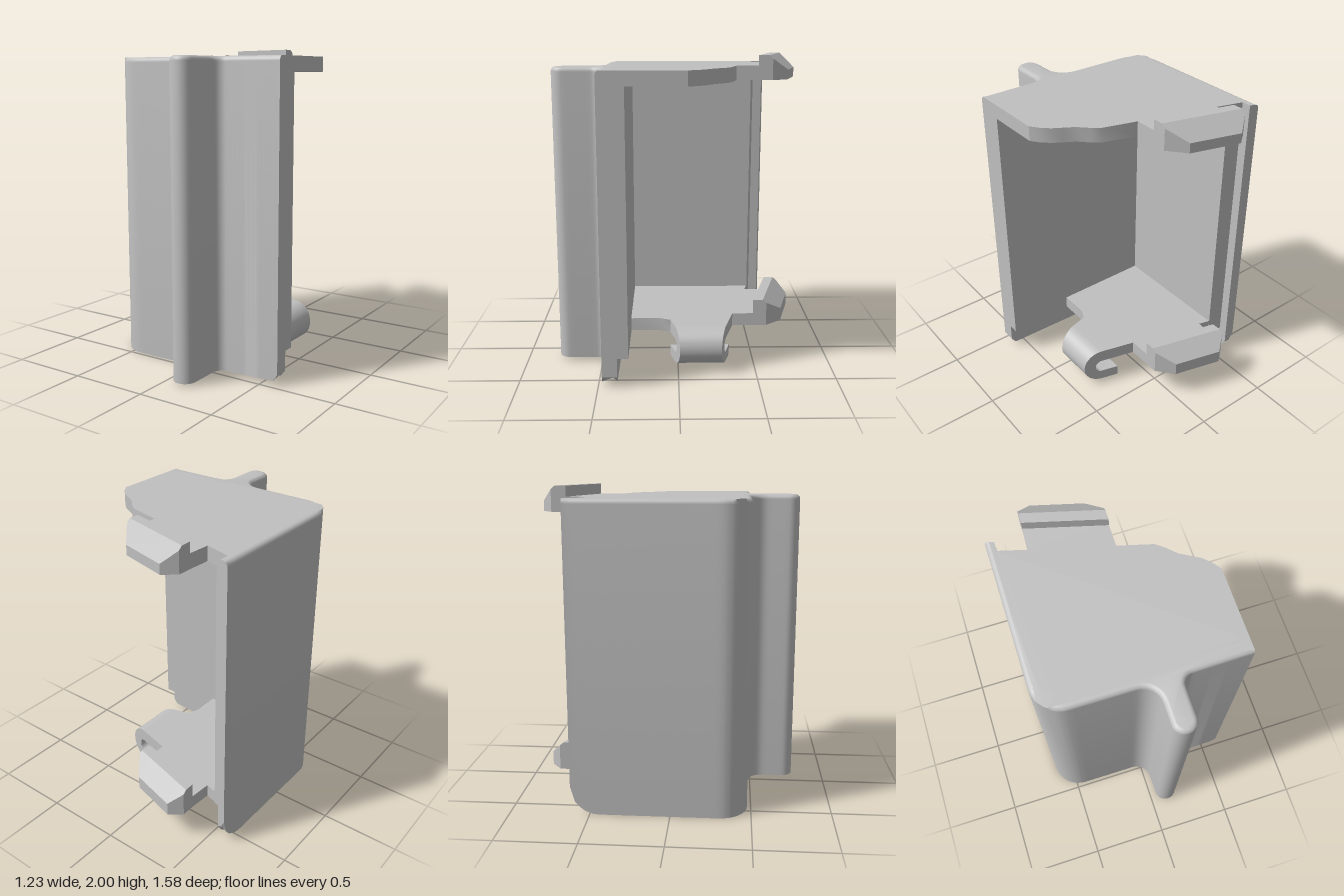
import * as THREE from 'three';
import { toCreasedNormals } from 'three/addons/utils/BufferGeometryUtils.js';

const grey = new THREE.MeshStandardMaterial({ color: 0xc0c0c0 });
grey.name = 'light grey';

function build(name, positions, index) {
  const g = new THREE.BufferGeometry();
  g.setAttribute('position', new THREE.Float32BufferAttribute(positions, 3));
  g.setIndex(index);
  const mesh = new THREE.Mesh(toCreasedNormals(g, 0.6), grey);
  mesh.name = name;
  return mesh;
}

// Plan outline from corners [x, z, fillet], split into short steps.
function outline(corners, step = 10) {
  const raw = [];
  corners.forEach(([x, z, r], i) => {
    const p = new THREE.Vector2(x, z);
    if (!r) return raw.push(p);
    const toward = (c) => new THREE.Vector2(c[0], c[1]).sub(p).setLength(r).add(p);
    const n = corners.length;
    const a = toward(corners[(i + n - 1) % n]);
    const b = toward(corners[(i + 1) % n]);
    // Weighted curve that is a true arc at a right angle
    for (let k = 0; k <= 8; k++) {
      const t = k / 8, u = 1 - t, w = Math.SQRT2 * u * t, s = u * u + w + t * t;
      raw.push(new THREE.Vector2(
        (u * u * a.x + w * x + t * t * b.x) / s,
        (u * u * a.y + w * z + t * t * b.y) / s));
    }
  });
  const pts = [];
  raw.forEach((p, i) => {
    const q = raw[(i + 1) % raw.length];
    const n = Math.max(1, Math.ceil(p.distanceTo(q) / step));
    for (let k = 0; k < n; k++) pts.push(p.clone().lerp(q, k / n));
  });
  if (THREE.ShapeUtils.isClockWise(pts)) pts.reverse();
  return pts;
}

// Upright prism; bottom(x, z) shapes the lower edge, round softens the outer top edge.
function prism(name, pts, bottom, top, round = 0) {
  const n = pts.length, pos = [], idx = [];
  const rows = [[0, 0]];
  if (round) {
    for (let k = 0; k <= 5; k++) {
      const a = (k / 5) * Math.PI / 2;
      rows.push([top - round + round * Math.sin(a), round * (1 - Math.cos(a))]);
    }
  } else rows.push([top, 0]);
  rows.forEach(([y, inset], r) => pts.forEach((p, i) => {
    const d1 = p.clone().sub(pts[(i + n - 1) % n]).normalize();
    const d2 = pts[(i + 1) % n].clone().sub(p).normalize();
    const d = d1.add(d2).normalize();
    const amount = p.x < -0.6 || p.y > 0.44 ? inset : 0;
    pos.push(p.x - (p.x > 0.6 ? 0 : d.y * amount), r ? y : bottom(p.x, p.y),
      p.y + (p.y < -0.6 ? 0 : d.x * amount));
  }));
  for (let r = 0; r < rows.length - 1; r++) {
    for (let i = 0; i < n; i++) {
      const a = r * n + i, b = r * n + (i + 1) % n;
      idx.push(a, a + n, b + n, a, b + n, b);
    }
  }
  const last = (rows.length - 1) * n;
  for (const [a, b, c] of THREE.ShapeUtils.triangulateShape(pts, [])) {
    idx.push(a, b, c, last + a, last + c, last + b);
  }
  return build(name, pos, idx);
}

// Snap ridge: slanted wedge with cut corners, lofted along x.
function clip(name, yb, yt) {
  const pos = [], idx = [];
  const sections = [[-0.39, 0.09], [-0.31, 0.175], [0, 0.175], [0.09, 0.09]];
  for (const [x, depth] of sections) {
    const z = -0.534 + 0.27 * x;
    const slope = yt - (depth - 0.065) * 0.85;
    for (const [d, y] of [[0, yb], [0, yt], [0.065, yt], [depth, slope], [depth, yb]]) pos.push(x, y, z - d);
  }
  for (let s = 0; s < 3; s++) {
    for (let k = 0; k < 5; k++) {
      const a = s * 5 + k, b = s * 5 + (k + 1) % 5;
      idx.push(a, a + 5, b + 5, a, b + 5, b);
    }
  }
  for (let k = 1; k < 4; k++) idx.push(0, k, k + 1, 15, 16 + k, 15 + k);
  return build(name, pos, idx);
}

// Curled hook hanging from the shelf, with ends tapered in plan.
function hook() {
  const s = new THREE.Shape();
  s.moveTo(0.19, 0.285);
  s.lineTo(0.31, 0.285);
  s.absarc(0.31, 0.1625, 0.1225, Math.PI / 2, -Math.PI / 2, true);
  s.lineTo(0.2, 0.04);
  s.lineTo(0.2, 0.11);
  s.lineTo(0.31, 0.11);
  s.absarc(0.31, 0.155, 0.045, -Math.PI / 2, Math.PI / 2, false);
  s.lineTo(0.19, 0.2);
  const g = new THREE.ExtrudeGeometry(s, { depth: 1, bevelEnabled: false, curveSegments: 20 });
  const p = g.attributes.position;
  for (let i = 0; i < p.count; i++) {
    const x = p.getX(i);
    p.setZ(i, p.getZ(i) > 0.5 ? 0.05 - 0.26 * (x - 0.2) : -0.37 + 0.27 * (x - 0.09));
  }
  const mesh = new THREE.Mesh(toCreasedNormals(g, 0.6), grey);
  mesh.name = 'hook';
  return mesh;
}

export function createModel() {
  const group = new THREE.Group();
  group.name = 'cover';

  // Outer shell: side wall, front wall and grip fin
  const shell = outline([
    [-0.565, -0.605], [-0.62, -0.62], [-0.62, 0.475, 0.18], [0.045, 0.48, 0.11],
    [0.045, 0.79, 0.07], [0.192, 0.79, 0.07], [0.192, 0.48, 0.06], [0.61, 0.475],
    [0.61, 0.38], [-0.565, 0.38, 0.1],
  ], 0.03);
  const shellBottom = (x, z) => {
    let y = x > -0.55 ? 0.025 * Math.max(0, x + 0.3) : 0;
    if (z < -0.44) {
      const d = Math.min(0.18, -0.44 - z);
      y += 0.18 - Math.sqrt(0.0324 - d * d);
    }
    if (x > 0.57) {
      const d = Math.min(0.04, x - 0.57);
      y += 0.04 - Math.sqrt(Math.max(0, 0.0016 - d * d));
    }
    return y + (x > 0 ? 0.008 : 0);
  };
  group.add(prism('outerShell', shell, shellBottom, 1.935, 0.03));

  // Thicker wall lining above the shelf level
  group.add(prism('wallLining', outline([
    [-0.57, -0.547], [-0.475, -0.522], [-0.475, 0.31], [0.61, 0.31], [0.61, 0.4], [-0.5, 0.4], [-0.57, 0.33],
  ]), () => 0.195, 1.9));

  // Top plate with its tongue
  group.add(prism('topPlate', outline([
    [-0.57, 0.33], [-0.5, 0.41], [0.61, 0.41], [0.61, -0.05], [0.575, -0.1], [0.525, -0.148],
    [0.47, -0.18], [0.41, -0.215], [0.35, -0.275], [0.3, -0.313], [0.09, -0.37],
    [0.09, -0.52], [-0.39, -0.65], [-0.4, -0.5], [-0.57, -0.547],
  ]), () => 1.845, 1.935));
  group.add(clip('topClip', 1.845, 2));

  // Lower shelf with its tongue
  group.add(prism('lowerShelf', outline([
    [-0.57, 0.33], [-0.5, 0.4], [0.17, 0.4], [0.17, 0.12], [0.2, 0.05], [0.2, -0.34], [0.09, -0.37],
    [0.09, -0.52], [-0.39, -0.65], [-0.4, -0.5], [-0.57, -0.547],
  ]), () => 0.2, 0.285));
  group.add(clip('lowerClip', 0.2, 0.38));
  group.add(hook());

  return group;
}
